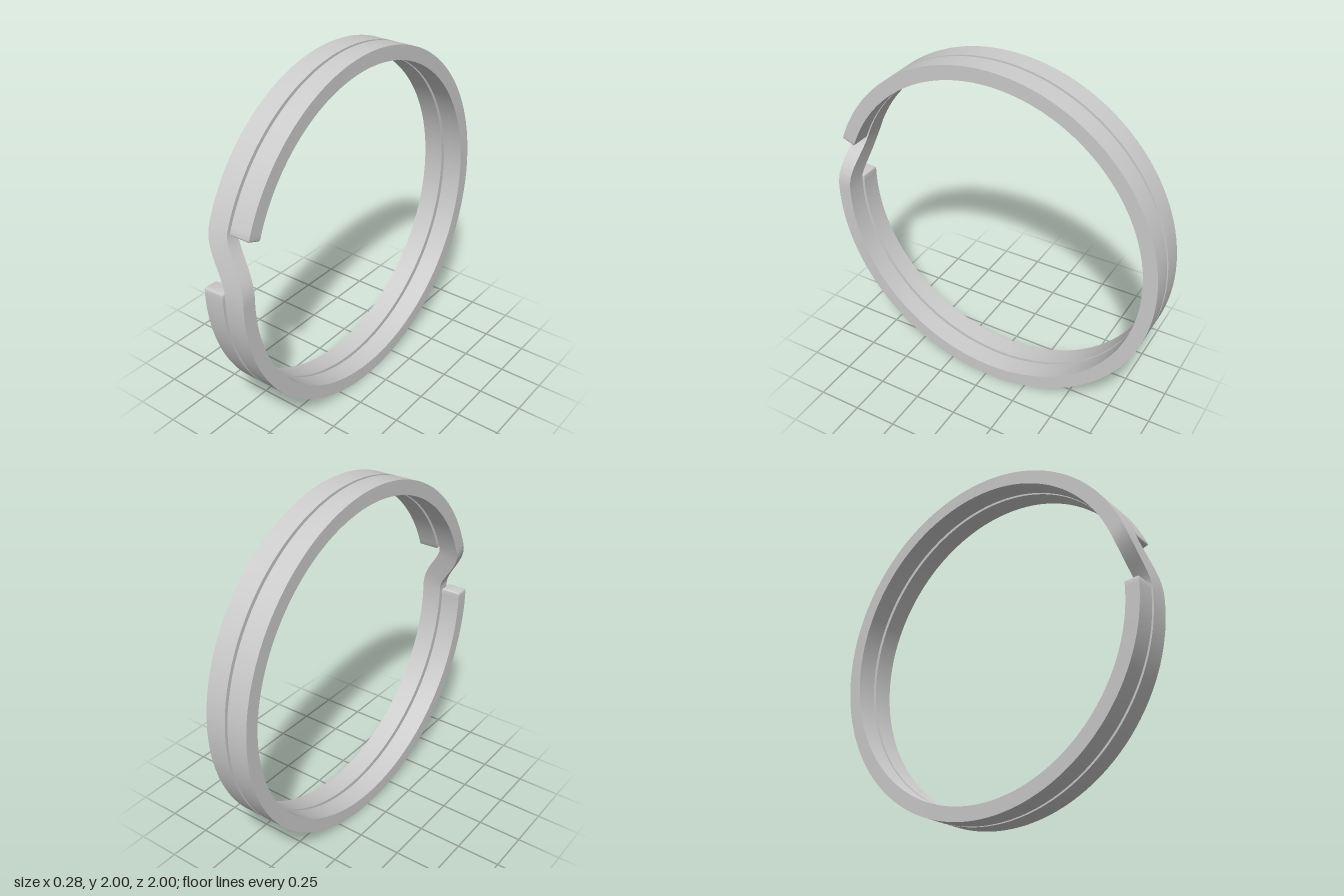
import * as THREE from 'three';
import { toCreasedNormals } from 'three/addons/utils/BufferGeometryUtils.js';

const RADIUS = 0.96, THICK = 0.08, WIDTH = 0.119;
const START = 2.4, END = -699.5;             // degrees round the ring, 0 = front, 90 = top
const CROSS_START = -338.9, CROSS_SPAN = 18.8; // where the wire steps over to the second coil

// Centre line of the wire: two tilted coils joined by an S-shaped crossover
function centre(deg) {
  const a = THREE.MathUtils.degToRad(deg);
  const t = THREE.MathUtils.clamp((CROSS_START - deg) / CROSS_SPAN, 0, 1);
  const step = t * t * (3 - 2 * t);
  const r = RADIUS - 0.006 * Math.sin(Math.PI * t) ** 2;
  const x = -0.069 + 0.136 * step - 0.01 * Math.cos(a) - 0.007 * Math.sin(a);
  return new THREE.Vector3(x, 1 + r * Math.sin(a), r * Math.cos(a));
}

// Four corners of the rectangular wire, square to its path
function section(deg, inset) {
  const a = THREE.MathUtils.degToRad(deg);
  const out = new THREE.Vector3(0, Math.sin(a), Math.cos(a));
  const along = centre(deg - 0.1).sub(centre(deg + 0.1)).normalize();
  const side = out.clone().cross(along).normalize();
  const w = WIDTH / 2 - inset, h = THICK / 2 - inset;
  return [[-1, -1], [1, -1], [1, 1], [-1, 1]].map(([u, v]) =>
    centre(deg).addScaledVector(side, u * w).addScaledVector(out, v * h));
}

function wireGeometry() {
  const rows = [];
  const bevel = 0.01, bevelDeg = THREE.MathUtils.radToDeg(bevel / RADIUS);
  // Rounded start
  for (let k = 0; k < 3; k++) {
    const q = (k / 3) * Math.PI / 2;
    rows.push(section(START - bevelDeg * (1 - Math.cos(q)), bevel * (1 - Math.sin(q))));
  }
  // Body of the wire
  const n = 400, from = START - bevelDeg, to = END + bevelDeg;
  for (let i = 0; i <= n; i++) rows.push(section(from + (to - from) * i / n, 0));
  // Rounded finish
  for (let k = 2; k >= 0; k--) {
    const q = (k / 3) * Math.PI / 2;
    rows.push(section(END + bevelDeg * (1 - Math.cos(q)), bevel * (1 - Math.sin(q))));
  }

  const pos = [];
  const quad = (a, b, c, d) => [a, b, c, a, c, d].forEach(p => pos.push(p.x, p.y, p.z));
  for (let i = 0; i < rows.length - 1; i++) {
    for (let j = 0; j < 4; j++) {
      const k = (j + 1) % 4;
      quad(rows[i][j], rows[i][k], rows[i + 1][k], rows[i + 1][j]);
    }
  }
  // Flat end caps
  const first = rows[0], last = rows[rows.length - 1];
  quad(first[3], first[2], first[1], first[0]);
  quad(last[0], last[1], last[2], last[3]);

  const g = new THREE.BufferGeometry();
  g.setAttribute('position', new THREE.Float32BufferAttribute(pos, 3));
  return toCreasedNormals(g, 0.6);
}

export function createModel() {
  const group = new THREE.Group();
  group.name = 'splitRing';
  const wire = new THREE.Mesh(wireGeometry(), new THREE.MeshStandardMaterial({ color: 0xcccccc }));
  wire.name = 'coiledWire';
  group.add(wire);
  return group;
}
